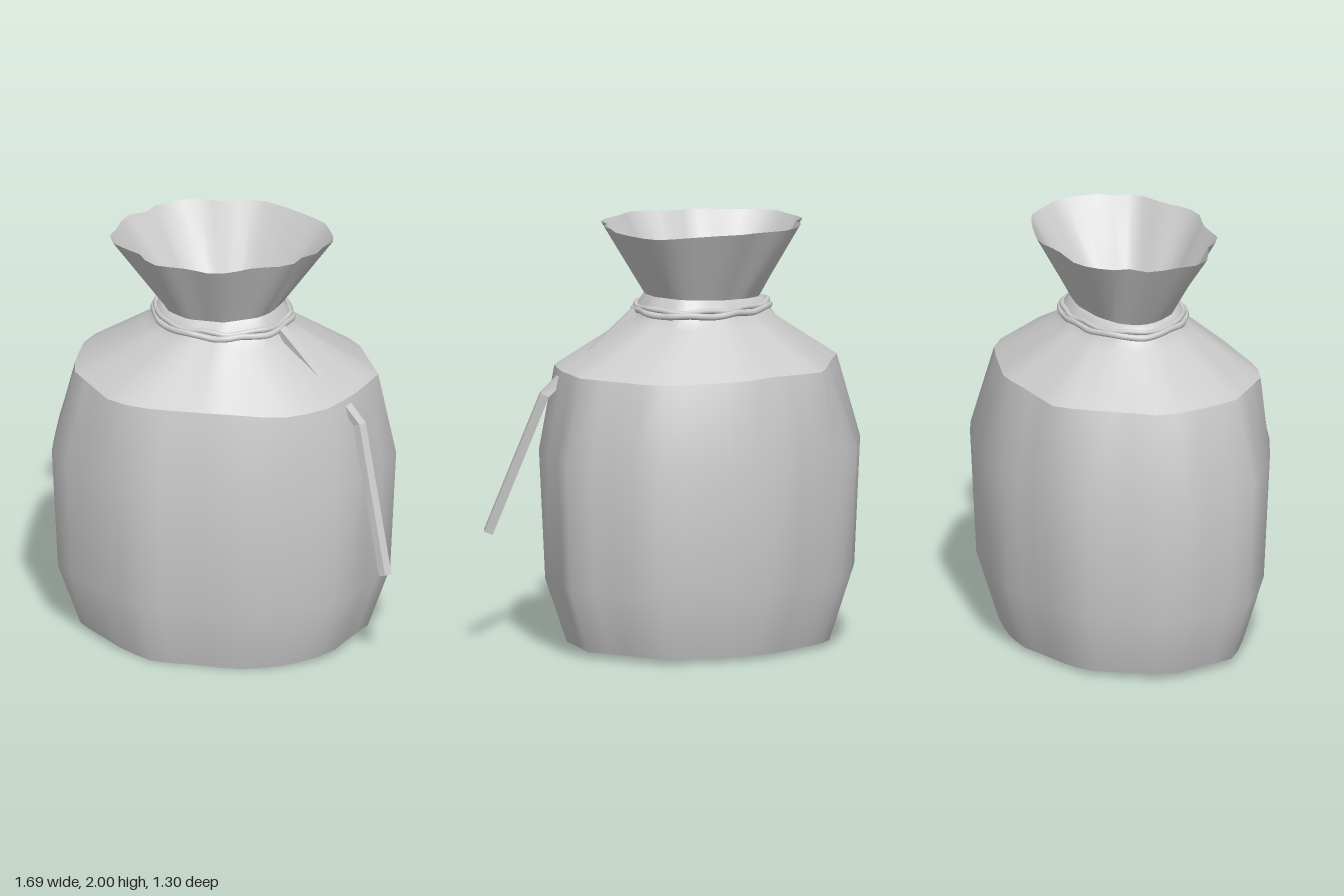
import * as THREE from 'three';

const SIDES = 40, CX = -0.04;
const cloth = new THREE.MeshStandardMaterial({ color: 0xcccccc, side: THREE.DoubleSide });
cloth.name = 'grey cloth';

// Outlines seen from above, as [x, z] corners
const belly = [[0.775, 0], [0.69, -0.2], [0.64, -0.36], [0.555, -0.48], [0.32, -0.58], [0.13, -0.64],
  [-0.04, -0.655], [-0.21, -0.62], [-0.36, -0.595], [-0.525, -0.55], [-0.795, -0.25], [-0.845, -0.145],
  [-0.83, 0.07], [-0.815, 0.25], [-0.72, 0.36], [-0.55, 0.5], [-0.335, 0.63], [-0.11, 0.63],
  [0.135, 0.65], [0.335, 0.59], [0.535, 0.48], [0.64, 0.385], [0.705, 0.18]];
const shoulder = [[0.69, 0], [0.545, -0.315], [0.47, -0.39], [0.105, -0.555], [-0.335, -0.545],
  [-0.58, -0.3], [-0.72, -0.18], [-0.73, 0.05], [-0.725, 0.2], [-0.49, 0.5], [-0.325, 0.54],
  [-0.02, 0.567], [0.32, 0.54], [0.5, 0.43], [0.61, 0.25]];
const neck = [[0.24, 0], [0.195, -0.135], [0.12, -0.185], [0, -0.215], [-0.155, -0.2], [-0.27, -0.15],
  [-0.33, -0.07], [-0.33, 0.02], [-0.28, 0.135], [-0.175, 0.215], [0, 0.245], [0.16, 0.18], [0.21, 0.11]];
const rim = [[0.475, 0], [0.455, -0.11], [0.39, -0.235], [0.215, -0.33], [0.055, -0.4], [-0.075, -0.37],
  [-0.27, -0.385], [-0.41, -0.295], [-0.445, -0.2], [-0.55, -0.14], [-0.54, -0.045], [-0.57, 0.09],
  [-0.53, 0.18], [-0.4, 0.25], [-0.335, 0.36], [-0.13, 0.385], [-0.055, 0.43], [0.05, 0.425],
  [0.16, 0.355], [0.33, 0.305], [0.365, 0.2], [0.42, 0.165], [0.435, 0.09]];

// Distance from the centre to an outline in direction (dx, dz)
function reach(outline, dx, dz) {
  for (let i = 0; i < outline.length; i++) {
    const [px, pz] = outline[i], [qx, qz] = outline[(i + 1) % outline.length];
    const ax = px - CX, ex = qx - px, ez = qz - pz;
    const d = dx * ez - dz * ex;
    const s = (ax * dz - pz * dx) / d, t = (ax * ez - pz * ex) / d;
    if (s >= -1e-6 && s <= 1 + 1e-6 && t > 0) return t;
  }
  return 0.3;
}

// Horizontal ring of points following an outline; height is a function of x, z and angle
function ring(outline, height, scaleX = 1, scaleZ = scaleX, n = SIDES) {
  return Array.from({ length: n }, (_, j) => {
    const a = (j / n) * Math.PI * 2, dx = Math.cos(a), dz = Math.sin(a);
    const r = reach(outline, dx, dz);
    const x = CX + dx * r * scaleX, z = dz * r * scaleZ;
    return new THREE.Vector3(x, height(x, z, a), z);
  });
}

// Skin over rings of equal length, optionally closed with end caps
function loft(rings, capped = false) {
  const n = rings[0].length, index = [];
  for (let i = 0; i < rings.length - 1; i++) {
    for (let j = 0; j < n; j++) {
      const a = i * n + j, b = i * n + (j + 1) % n, c = a + n, d = b + n;
      index.push(a, c, b, b, c, d);
    }
  }
  const last = (rings.length - 1) * n;
  for (let j = 1; capped && j < n - 1; j++) {
    index.push(0, j, j + 1, last, last + j + 1, last + j);
  }
  const geo = new THREE.BufferGeometry().setFromPoints(rings.flat());
  geo.setIndex(index);
  geo.computeVertexNormals();
  return geo;
}

// Square-section string along a path
function stringGeometry(path, radius) {
  const rings = path.map((p, i) => {
    const t = path[Math.min(i + 1, path.length - 1)].clone().sub(path[Math.max(i - 1, 0)]).normalize();
    const u = new THREE.Vector3(0.55, 0, -0.83).cross(t).normalize();
    const v = u.clone().cross(t);
    return [0, 1, 2, 3].map(k => {
      const a = (k + 0.5) * Math.PI / 2;
      return p.clone().addScaledVector(u, Math.cos(a) * radius).addScaledVector(v, Math.sin(a) * radius);
    });
  });
  const geo = loft(rings, true).toNonIndexed();
  geo.computeVertexNormals();
  return geo;
}

export function createModel() {
  const group = new THREE.Group();
  group.name = 'sack';
  const add = (name, geo) => {
    const mesh = new THREE.Mesh(geo, cloth);
    mesh.name = name;
    group.add(mesh);
  };
  const { smoothstep } = THREE.MathUtils;

  // Heights of the wavy edges
  const baseY = (x, z) => 0.026 - 0.026 * smoothstep(z, 0.28, 0.5) - 0.008 * smoothstep(-z, 0.2, 0.5);
  const shoulderY = x => 1.333 - 0.012 * Math.abs(Math.sin(x * 4));
  const neckY = x => 1.653 + 0.06 * x;
  const rimY = (x, z) => 1.98 + 0.02 * smoothstep(x, -0.25, 0.2) * Math.min(1, Math.abs(z + 0.2) * 4);

  // Bulging body, open underneath
  const shoulderRing = ring(shoulder, shoulderY);
  add('body', loft([ring(belly, baseY, 0.835, 0.81), ring(belly, () => 0.33, 0.965, 0.955),
    ring(belly, () => 0.93), shoulderRing]));

  // Sloping shoulder gathered into the neck
  const neckRing = ring(neck, neckY);
  const gather = ring(neck, () => 1.58, 1.15, 1.2);
  add('shoulder', loft([shoulderRing, ring(neck, () => 1.53, 1.28, 1.36), gather]));
  add('neck', loft([gather, ring(neck, () => 1.62, 1.1, 1.13), neckRing]));

  // Flared mouth
  add('mouth', loft([neckRing, ring(rim, rimY)]));

  // Two strands of cord wound around the neck
  [[1.59, 1.15, 1.21, 0.016, 0], [1.609, 1.12, 1.17, 0.013, 2]].forEach(([y, sx, sz, radius, phase]) => {
    const points = ring(neck, (x, z, a) => y + 0.005 * Math.sin(a * 7 + phase), sx, sz, 28);
    const curve = new THREE.CatmullRomCurve3(points, true);
    add('neckCord', new THREE.TubeGeometry(curve, 84, radius, 8, true));
  });

  // Loose end of the cord, sinking into the shoulder fold and hanging free below it
  const path = [[0.25, 1.583, 0.13], [0.47, 1.372, 0.225], [0.54, 1.29, 0.25], [0.59, 1.275, 0.275],
    [0.655, 1.21, 0.305], [0.815, 0.545, 0.525]];
  add('cordEnd', stringGeometry(path.map(p => new THREE.Vector3(...p)), 0.03));

  return group;
}
